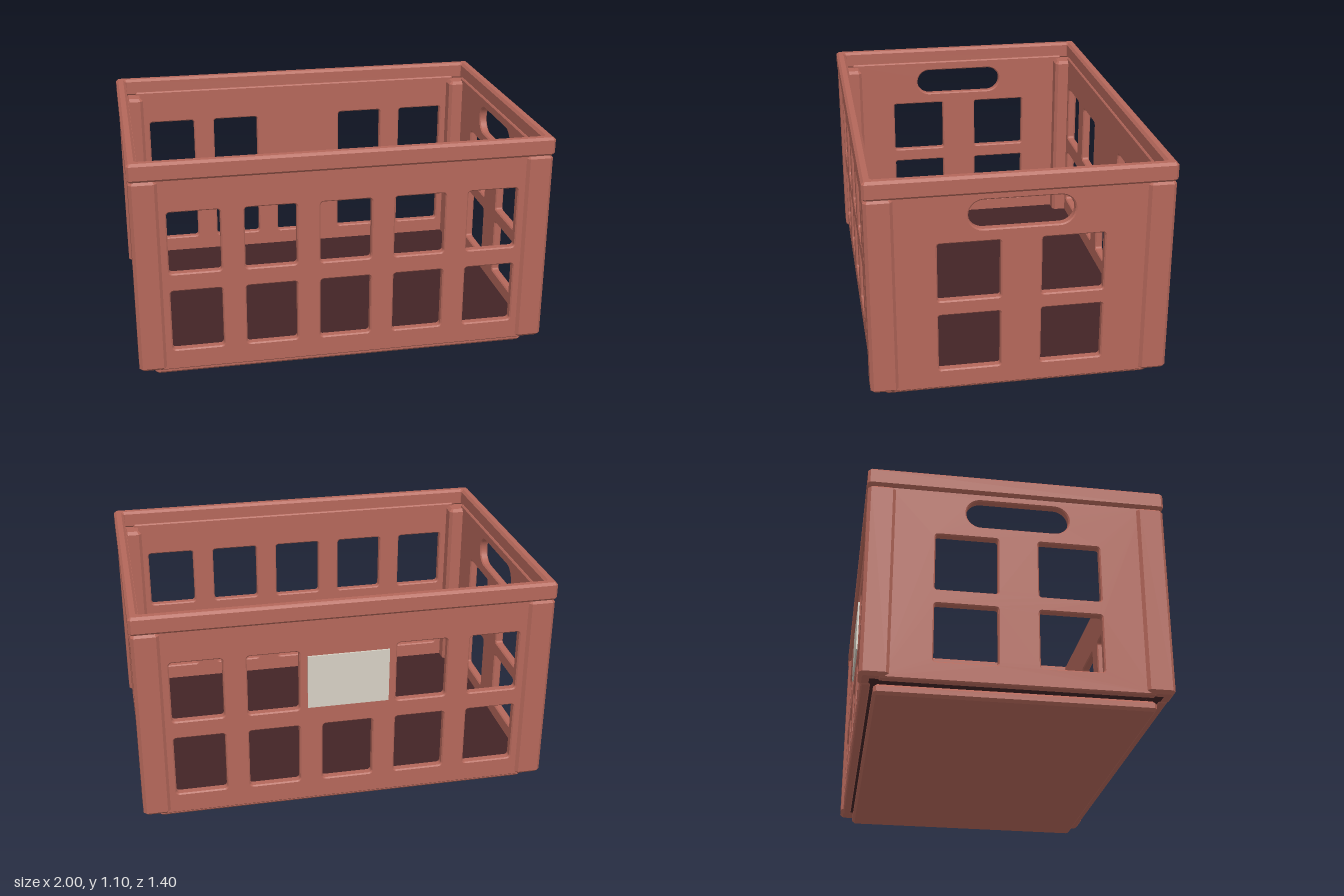
import * as THREE from 'three';

const red = new THREE.MeshStandardMaterial({ color: 0xb4675a });
red.name = 'clay red';
const dark = new THREE.MeshStandardMaterial({ color: 0x432426 });
dark.name = 'dark floor';
const grey = new THREE.MeshStandardMaterial({ color: 0xd6d0c4 });
grey.name = 'label grey';

// Rounded (or, with chamfer = true, cut-corner) rectangle outline centred at cx, cy
function outline(target, cx, cy, w, h, r, chamfer = false) {
  const x = w / 2, y = h / 2;
  const corners = [[1, -1], [1, 1], [-1, 1], [-1, -1]];
  corners.forEach(([sx, sy], i) => {
    const px = cx + sx * (x - r), py = cy + sy * (y - r);
    const a = (i - 1) * Math.PI / 2;
    if (chamfer) {
      const p = [a, a + Math.PI / 2].map((t) => [px + r * Math.cos(t), py + r * Math.sin(t)]);
      if (i === 0) target.moveTo(...p[0]); else target.lineTo(...p[0]);
      target.lineTo(...p[1]);
    } else {
      if (i === 0) target.moveTo(px + r * Math.cos(a), py + r * Math.sin(a));
      target.absarc(px, py, r, a, a + Math.PI / 2, false);
    }
  });
  target.closePath();
  return target;
}

// Extrusion of total thickness d, centred in depth, with bevelled edges
function slab(shape, d, bevel, curveSegments = 4) {
  return new THREE.ExtrudeGeometry(shape, {
    depth: d - 2 * bevel, bevelEnabled: true, bevelSize: bevel, bevelThickness: bevel,
    bevelOffset: -bevel, bevelSegments: 1, curveSegments,
  }).translate(0, 0, -d / 2 + bevel);
}

// Upright block with every edge chamfered
function block(w, h, d, c) {
  return slab(outline(new THREE.Shape(), 0, 0, w, d, c, true), h, c).rotateX(-Math.PI / 2);
}

function wall(width, holes) {
  const shape = outline(new THREE.Shape(), 0, 0.54, width, 0.98, 0.005, true);
  for (const [x, y, w, h, r] of holes) shape.holes.push(outline(new THREE.Path(), x, y, w, h, r));
  return slab(shape, 0.042, 0.006, 8);
}

export function createModel() {
  const crate = new THREE.Group();
  crate.name = 'crate';
  function add(name, geometry, material, x = 0, y = 0, z = 0, turn = 0) {
    const mesh = new THREE.Mesh(geometry, material);
    mesh.name = name;
    mesh.position.set(x, y, z);
    mesh.rotation.y = turn;
    crate.add(mesh);
  }

  // Base and dark inner floor
  add('base', block(1.84, 0.05, 1.26, 0.013), red, 0, 0.025, 0);
  add('floor', new THREE.BoxGeometry(1.9, 0.02, 1.3), dark, 0, 0.065, 0);

  // Long walls: two rows of five windows, the back one solid behind its label
  const frontHoles = [];
  for (const y of [0.307, 0.702]) {
    for (let i = -2; i <= 2; i++) frontHoles.push([i * 0.355, y, 0.244, 0.306, 0.016]);
  }
  const backHoles = frontHoles.filter(([x, y]) => !(x === 0 && y > 0.5));
  add('frontWall', wall(1.8, frontHoles), red, 0, 0, 0.662);
  add('backWall', wall(1.8, backHoles), red, 0, 0, -0.662, Math.PI);

  // End walls: four windows and a hand hole
  const endHoles = [[0, 0.91, 0.48, 0.14, 0.0695]];
  for (const x of [-0.237, 0.237]) {
    for (const y of [0.285, 0.64]) endHoles.push([x, y, 0.286, 0.283, 0.012]);
  }
  for (const s of [-1, 1]) {
    add(s > 0 ? 'leftWall' : 'rightWall', wall(1.22, endHoles), red, s * 0.96, 0, 0, s * Math.PI / 2);
  }

  // Corner posts
  const post = block(0.13, 0.96, 0.13, 0.015);
  for (const x of [-1, 1]) for (const z of [-1, 1]) {
    add('cornerPost', post, red, x * 0.93, 0.535, z * 0.632);
  }

  // Top rim
  const rim = outline(new THREE.Shape(), 0, 0, 2, 1.4, 0.012, true);
  rim.holes.push(outline(new THREE.Path(), 0, 0, 1.9, 1.3, 0.004, true));
  add('rim', slab(rim, 0.09, 0.012).rotateX(-Math.PI / 2), red, 0, 1.057, 0);

  // Blank label plate on the back
  add('label', new THREE.BoxGeometry(0.39, 0.27, 0.009), grey, 0, 0.695, -0.687);

  return crate;
}
